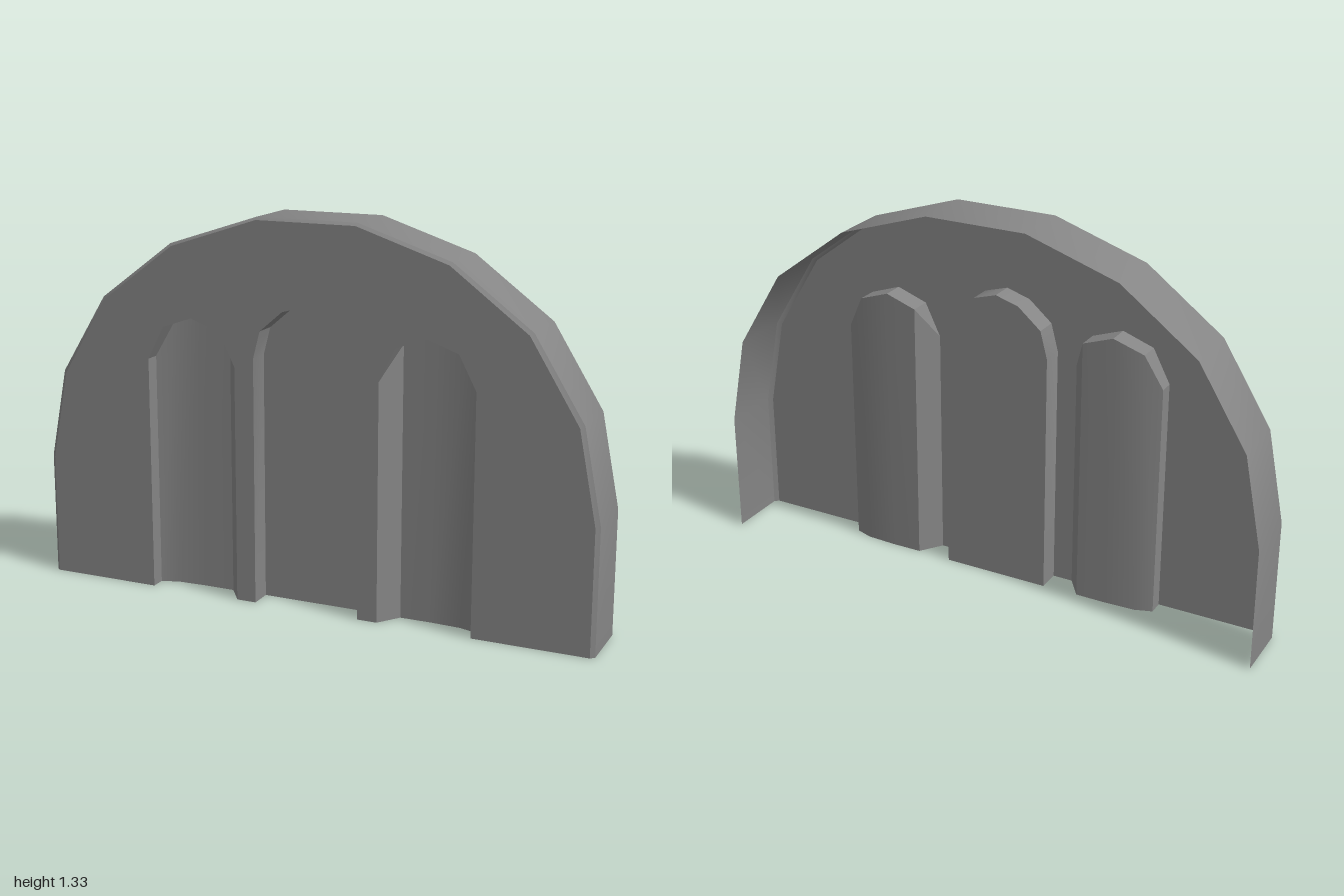
import * as THREE from 'three';
import { toCreasedNormals } from 'three/addons/utils/BufferGeometryUtils.js';

const FRONT = 0.11, BACK = -0.11, BEVEL = 0.012;
const material = new THREE.MeshStandardMaterial({ color: 0x858585, side: THREE.DoubleSide });

// Right half of the arch, from the ground to the crown
const halfArch = [[1, 0], [1, 0.43], [0.938, 0.745], [0.768, 1.02], [0.5, 1.22], [0.178, 1.325]];
const mirror = pts => pts.map(([x, ...rest]) => [-x, ...rest]).reverse();
const arch = [...halfArch, ...mirror(halfArch)];
const innerArch = arch.map(([x, y]) => [x * 0.986, y * 0.993]);

// Niche tops, left to right: x, y, depth behind the panel
const sideNiche = [[0.26, 0.82, 0], [0.315, 0.935, 0.076], [0.422, 0.973, 0.077], [0.53, 0.935, 0.072], [0.59, 0.82, 0.052]];
const halfNiche = [[-0.19, 0.855, 0.08], [-0.165, 0.95, 0.08], [-0.083, 1.02, 0.08]];
const centreNiche = [...halfNiche, [0, 1.045, 0.08], ...mirror(halfNiche)];

// Builds a creased mesh from four-cornered faces
function quadMesh(name, quads) {
  const pos = [];
  for (const [a, b, c, d] of quads) {
    for (const tri of [[a, b, c], [a, c, d]]) {
      const [p, q, r] = tri.map(v => new THREE.Vector3(...v));
      if (q.clone().sub(p).cross(r.clone().sub(p)).length() > 1e-7) pos.push(...tri.flat());
    }
  }
  const geo = new THREE.BufferGeometry();
  geo.setAttribute('position', new THREE.Float32BufferAttribute(pos, 3));
  const mesh = new THREE.Mesh(toCreasedNormals(geo, 0.45), material);
  mesh.name = name;
  return mesh;
}

// Sweeps a strip between two outlines at different depths
function strip(name, a, za, b, zb) {
  const quads = [];
  for (let i = 0; i < a.length - 1; i++) {
    quads.push([[...a[i], za], [...a[i + 1], za], [...b[i + 1], zb], [...b[i], zb]].reverse());
  }
  return quadMesh(name, quads);
}

// Recess open at the front and bottom: floor columns plus side and arch walls
function niche(name, pts) {
  const group = new THREE.Group();
  group.name = name;
  const floor = [], walls = [];
  for (let i = 0; i < pts.length - 1; i++) {
    const [x0, y0, d0] = pts[i], [x1, y1, d1] = pts[i + 1];
    floor.push([[x0, 0, FRONT - d0], [x1, 0, FRONT - d1], [x1, y1, FRONT - d1], [x0, y0, FRONT - d0]]);
  }
  const first = pts[0], last = pts[pts.length - 1];
  const edge = [[first[0], 0, first[2]], ...pts, [last[0], 0, last[2]]];
  for (let i = 0; i < edge.length - 1; i++) {
    const [x0, y0, d0] = edge[i], [x1, y1, d1] = edge[i + 1];
    walls.push([[x0, y0, FRONT], [x0, y0, FRONT - d0], [x1, y1, FRONT - d1], [x1, y1, FRONT]]);
  }
  group.add(quadMesh(name + 'Floor', floor), quadMesh(name + 'Walls', walls));
  return group;
}

export function createModel() {
  const model = new THREE.Group();
  model.name = 'archedPanel';
  const niches = { rightNiche: mirror(sideNiche), centreNiche, leftNiche: sideNiche };

  // Front panel, with the niche openings cut up from its bottom edge
  const outline = [...innerArch];
  for (const pts of Object.values(niches)) {
    outline.push([pts[0][0], 0], ...pts, [pts[pts.length - 1][0], 0]);
  }
  const shape = new THREE.Shape(outline.map(([x, y]) => new THREE.Vector2(x, y)));
  const panel = new THREE.Mesh(new THREE.ShapeGeometry(shape), material);
  panel.name = 'frontPanel';
  panel.position.z = FRONT;
  model.add(panel);

  // Outer rim and its narrow bevel; back and bottom stay open
  model.add(strip('outerRim', arch, BACK, arch, FRONT - BEVEL));
  model.add(strip('rimBevel', arch, FRONT - BEVEL, innerArch, FRONT));

  for (const [name, pts] of Object.entries(niches)) model.add(niche(name, pts));
  return model;
}
